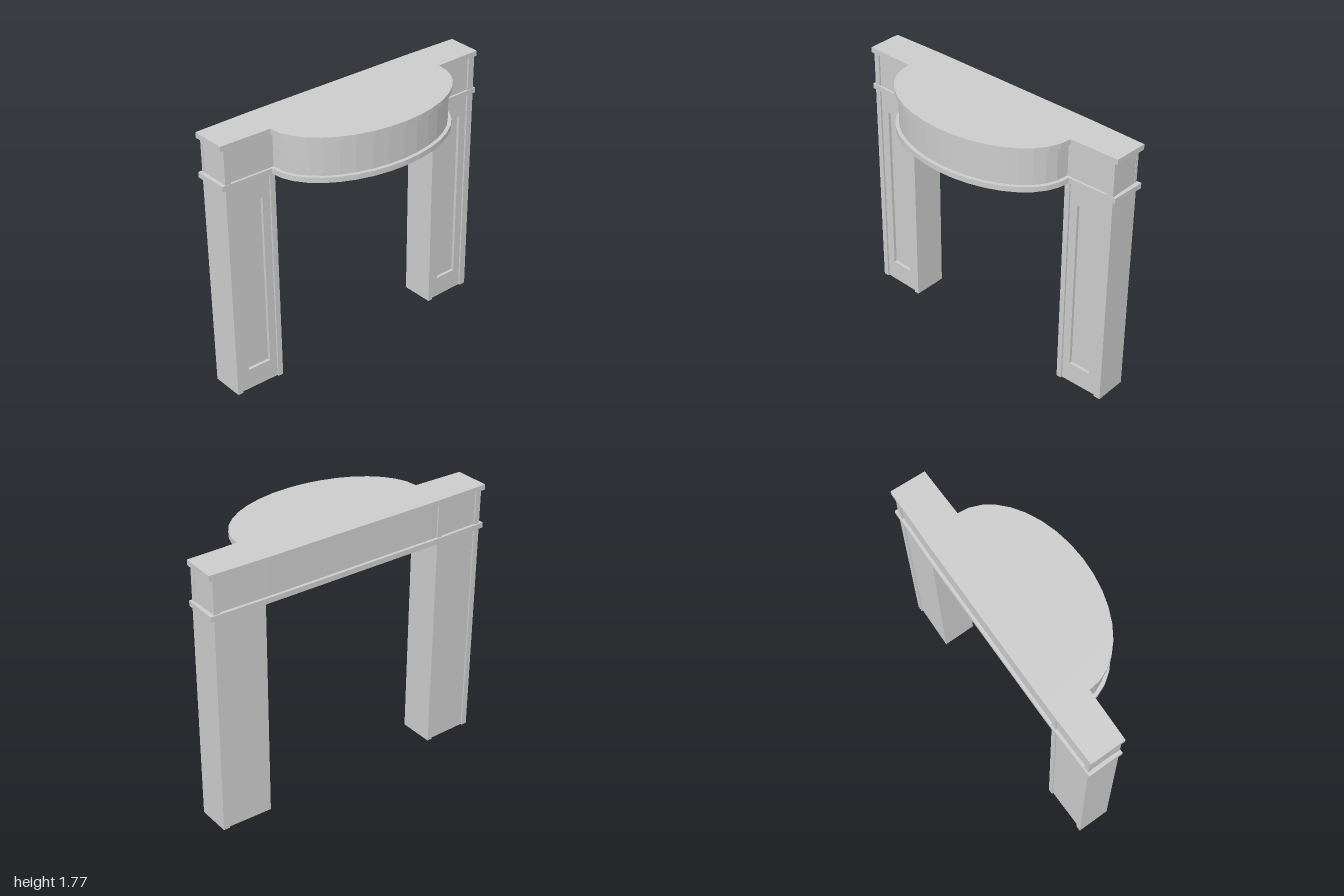
import * as THREE from 'three';

const material = new THREE.MeshStandardMaterial({ color: 0xcccccc, flatShading: true });

// Slightly skewed plan: front and back wall lines as functions of x
const lerp = THREE.MathUtils.lerp;
const frontZ = (x) => (x > 0 ? -0.07 : -0.1 + 0.044 * (x + 0.66));
function backZ(x) {
  if (x < -0.6) return -0.35;
  if (x < 0.6) return lerp(-0.35, -0.322, (x + 0.6) / 1.2);
  return lerp(-0.322, -0.305, (x - 0.6) / 0.4);
}

function addMesh(group, name, geometry) {
  const mesh = new THREE.Mesh(geometry, material);
  mesh.name = name;
  group.add(mesh);
}

// Upright prism over a plan outline of [x, z] points
function prism(points, y0, y1) {
  const shape = new THREE.Shape(points.map(([x, z]) => new THREE.Vector2(x, -z)));
  const geometry = new THREE.ExtrudeGeometry(shape, { depth: y1 - y0, bevelEnabled: false });
  return geometry.rotateX(-Math.PI / 2).translate(0, y0, 0);
}

// Block between x0 and x1 whose faces follow the given z rules
const block = (x0, x1, near, far, y0, y1) =>
  prism([[x0, near(x0)], [x1, near(x1)], [x1, far(x1)], [x0, far(x0)]], y0, y1);

// Straight-ended plan with a half-elliptical bow in front
function bowedPlan(left, right, frontRight, a, b, frontInset, backInset) {
  const points = [left, -0.6, 0.6, right].map((x) => [x, backZ(x) + backInset]);
  points.push([frontRight, frontZ(frontRight) - frontInset]);
  points.push([a, frontZ(a) - frontInset]);
  const steps = 18;
  for (let i = 0; i <= steps; i++) {
    const t = (i / steps) * Math.PI;
    const x = a * Math.cos(t);
    const z = -0.083 + 0.02 * x + b * Math.sin(t);
    if (i > 0 && i < steps) points.push([x, z]);
  }
  points.push([-a, frontZ(-a) - frontInset]);
  points.push([left, frontZ(left) - frontInset]);
  return points;
}

// Pillar front with a rectangular opening, sheared to follow the front line
function panelFrame(x0, x1, p0, p1) {
  const rect = (Type, l, r, b, t) => new Type([[l, b], [r, b], [r, t], [l, t]].map((p) => new THREE.Vector2(...p)));
  const shape = rect(THREE.Shape, x0, x1, 0, 1.48);
  shape.holes.push(rect(THREE.Path, p0, p1, 0.145, 1.34));
  const geometry = new THREE.ExtrudeGeometry(shape, { depth: 0.02, bevelEnabled: false });
  const pos = geometry.attributes.position;
  for (let i = 0; i < pos.count; i++) pos.setZ(i, pos.getZ(i) + frontZ(pos.getX(i)) - 0.035);
  geometry.computeVertexNormals();
  return geometry;
}

export function createModel() {
  const model = new THREE.Group();
  model.name = 'fireplaceSurround';

  // Lower and upper shelves
  const shelf = bowedPlan(-1, 1, 0.99, 0.655, 0.428, 0, 0);
  addMesh(model, 'lowerShelf', prism(shelf, 1.48, 1.515));
  addMesh(model, 'upperShelf', prism(shelf, 1.74, 1.775));

  // Bowed frieze between the shelves
  const frieze = bowedPlan(-0.975, 0.97, 0.97, 0.632, 0.403, 0.015, 0.02);
  addMesh(model, 'frieze', prism(frieze, 1.515, 1.74));

  const frontFace = (x) => frontZ(x) - 0.003;
  const frontCore = (x) => frontZ(x) - 0.035;
  const backCore = (x) => backZ(x) + 0.02;
  const backFace = (x) => backZ(x) + 0.01;

  // Pillars: x limits, panel limits, edge strips
  const pillars = [
    { name: 'left', x: [0.625, 0.972], panel: [0.715, 0.87], outer: [0.925, 0.972], inner: [0.625, 0.66], back: [[0.93, 0.972]] },
    { name: 'right', x: [-0.978, -0.633], panel: [-0.88, -0.72], outer: [-0.978, -0.94], inner: [-0.668, -0.633],
      back: [[-0.978, -0.94], [-0.668, -0.633]] },
  ];
  for (const p of pillars) {
    const group = new THREE.Group();
    group.name = p.name + 'Pillar';
    model.add(group);
    addMesh(group, 'pillarCore', block(...p.x, frontCore, backCore, 0, 1.48));
    addMesh(group, 'panelFrame', panelFrame(...p.x, ...p.panel));

    // Front edge strips; the outer one continues up the frieze
    for (const strip of [p.outer, p.inner]) {
      addMesh(group, 'frontStrip', block(...strip, frontFace, frontCore, 0, 1.48));
    }
    addMesh(group, 'friezeFrontStrip', block(...p.outer, frontFace, frontCore, 1.515, 1.74));

    // Back edge strips, on pillar and frieze
    for (const strip of p.back) {
      addMesh(group, 'backStrip', block(...strip, (x) => backCore(x) + 0.01, backFace, 0, 1.48));
      addMesh(group, 'friezeBackStrip', block(...strip, (x) => backCore(x) + 0.01, backFace, 1.515, 1.74));
    }
  }
  return model;
}
